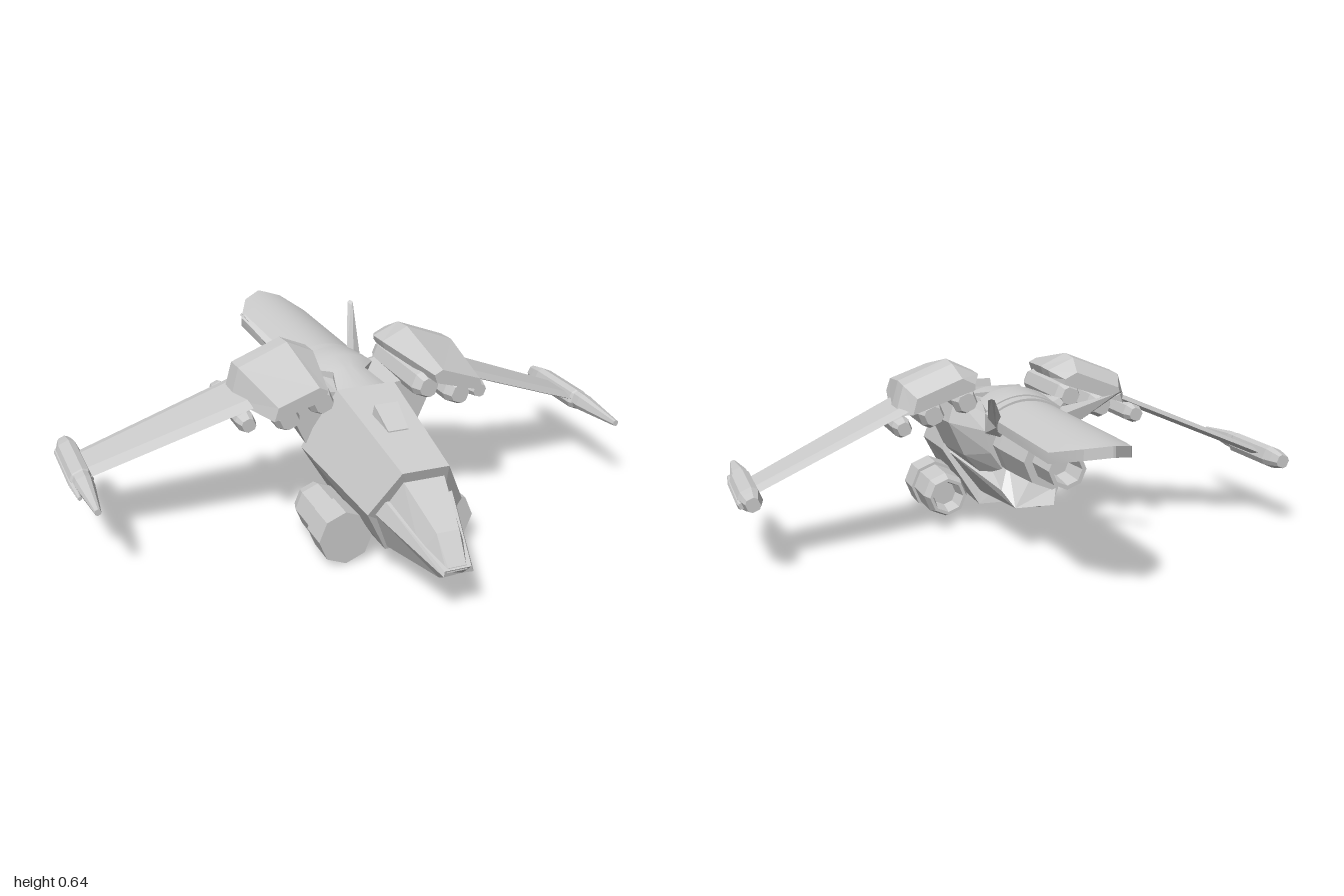
import * as THREE from 'three';
import { toCreasedNormals } from 'three/addons/utils/BufferGeometryUtils.js';

const flat = new THREE.MeshStandardMaterial({ color: 0xcccccc, flatShading: true });
const smooth = new THREE.MeshStandardMaterial({ color: 0xcccccc });

// Skin a list of rings; each ring runs counter-clockwise seen from the first end
function loft(rings) {
  const out = [];
  const tri = (...pts) => pts.forEach((p) => out.push(...p));
  const n = rings[0].length;
  for (let i = 0; i + 1 < rings.length; i++) {
    const F = rings[i], B = rings[i + 1];
    for (let j = 0; j < n; j++) {
      const k = (j + 1) % n;
      tri(F[j], B[j], F[k]);
      tri(F[k], B[j], B[k]);
    }
  }
  const last = rings[rings.length - 1];
  for (let j = 1; j + 1 < n; j++) {
    tri(rings[0][0], rings[0][j], rings[0][j + 1]);
    tri(last[0], last[j + 1], last[j]);
  }
  const geo = new THREE.BufferGeometry();
  geo.setAttribute('position', new THREE.Float32BufferAttribute(out, 3));
  geo.computeVertexNormals();
  return geo;
}

// Full ring from its +x half, listed bottom to top
const sym = (half) => [...half, ...half.map(([x, y, z]) => [-x, y, z]).reverse()];
const atZ = (z, pts) => pts.map(([x, y]) => [x, y, z]);

// Chamfered square bar along z; stations are [z, half width]
function bar(cx, cy, tilt, stations) {
  const c = Math.cos(tilt), s = Math.sin(tilt);
  const shape = [[0.55, -1], [1, -0.55], [1, 0.55], [0.55, 1], [-0.55, 1], [-1, 0.55], [-1, -0.55], [-0.55, -1]];
  return loft(stations.map(([z, r]) =>
    shape.map(([x, y]) => [cx + r * (x * c - y * s), cy + r * (x * s + y * c), z])));
}

// Eight-sided turned body along z; profile is [radius, z], rear to front
function turned(profile, x, y) {
  const geo = new THREE.LatheGeometry(profile.map(([r, z]) => new THREE.Vector2(r, z)), 8);
  return geo.rotateX(Math.PI / 2).translate(x, y, 0);
}

// Curved shell over the back; stations are [z, half width, crown height]
function shell(stations, bend, thick) {
  const n = 12;
  return loft(stations.map(([z, w, top]) => {
    const ring = [];
    for (let i = 0; i <= n; i++) {
      const x = w * (2 * i / n - 1);
      ring.push([x, top - bend * x * x - thick, z]);
    }
    for (let i = n; i >= 0; i--) {
      const x = w * (2 * i / n - 1);
      ring.push([x, top - bend * x * x, z]);
    }
    return ring;
  }));
}

// Mirror across x = 0, keeping faces outward
function mirrored(geo) {
  const g = geo.clone().scale(-1, 1, 1);
  const p = g.attributes.position;
  for (let i = 0; i < p.count; i += 3) {
    const b = [p.getX(i + 1), p.getY(i + 1), p.getZ(i + 1)];
    p.setXYZ(i + 1, p.getX(i + 2), p.getY(i + 2), p.getZ(i + 2));
    p.setXYZ(i + 2, ...b);
  }
  g.computeVertexNormals();
  return g;
}

export function createModel() {
  const model = new THREE.Group();
  const add = (name, geo, mat = flat) => {
    let g = geo.index ? geo.toNonIndexed() : geo;
    if (mat === flat) g.computeVertexNormals();
    else g = toCreasedNormals(g, 0.5);
    const mesh = new THREE.Mesh(g, mat);
    mesh.name = name;
    model.add(mesh);
    return g;
  };
  const pair = (name, geo) => {
    const g = add(name + 'Left', geo);
    add(name + 'Right', mirrored(g));
  };

  // Main hull with slanted ends
  add('hull', loft([
    sym([[0.09, 0.09, 0.59], [0.165, 0.24, 0.62], [0.08, 0.40, 0.69]]),
    sym([[0.09, 0.085, 0.10], [0.215, 0.29, 0.15], [0.105, 0.505, 0.21]]),
  ]));

  // Nose below the canopy sill
  add('nose', loft([
    sym([[0.04, 0.13, 0.88], [0.05, 0.16, 0.93], [0.045, 0.175, 0.925]]),
    sym([[0.085, 0.10, 0.59], [0.14, 0.24, 0.62], [0.115, 0.29, 0.645]]),
  ]));

  // Faceted canopy
  add('canopy', loft([
    sym([[0.035, 0.165, 0.92], [0.03, 0.18, 0.918]]),
    sym([[0.075, 0.19, 0.82], [0.038, 0.265, 0.85]]),
    sym([[0.12, 0.25, 0.63], [0.07, 0.365, 0.675]]),
  ]));

  // Dorsal air scoop
  add('scoop', loft([
    sym([[0.035, 0.43, 0.48], [0.035, 0.45, 0.48]]),
    sym([[0.048, 0.45, 0.37], [0.042, 0.505, 0.38]]),
  ]));

  // Shoulder body carrying the wings
  add('shoulderBody', loft([
    sym(atZ(0.17, [[0.09, 0.2], [0.2, 0.3], [0.255, 0.42], [0.23, 0.5], [0.09, 0.48]])),
    sym(atZ(-0.05, [[0.09, 0.2], [0.19, 0.31], [0.245, 0.43], [0.22, 0.52], [0.09, 0.49]])),
    sym(atZ(-0.14, [[0.07, 0.26], [0.12, 0.33], [0.14, 0.41], [0.12, 0.46], [0.07, 0.48]])),
  ]));

  // Belly fairing behind the hull
  add('bellyFairing', loft([
    sym([[0.08, 0.13, 0.12], [0.19, 0.28, 0.14], [0.1, 0.36, 0.14]]),
    sym([[0.07, 0.16, -0.26], [0.1, 0.21, -0.2], [0.06, 0.3, -0.15]]),
  ]));

  // Dorsal hump, collar and long tail plate
  add('dorsalHump', shell([[0.21, 0.1, 0.505], [0.06, 0.06, 0.52], [-0.02, 0.12, 0.54], [-0.14, 0.135, 0.53]], 2.7, 0.08), smooth);
  add('tailCollar', shell([[-0.14, 0.14, 0.525], [-0.19, 0.14, 0.525]], 2.7, 0.07), smooth);
  add('tailPlate', shell([[-0.15, 0.135, 0.517], [-0.76, 0.135, 0.517], [-0.89, 0.075, 0.517], [-0.94, 0.004, 0.517]], 2.7, 0.035), smooth);

  // Rear engine with hollow nozzle
  add('rearEngine', turned([
    [0, -0.47], [0.04, -0.47], [0.05, -0.57], [0.064, -0.57], [0.07, -0.43],
    [0.098, -0.43], [0.112, -0.2], [0.112, 0.1], [0, 0.1],
  ], 0, 0.36));

  // Lower engines beside the hull
  pair('lowerEngine', turned([
    [0, 0.25], [0.045, 0.25], [0.058, 0.185], [0.07, 0.185], [0.083, 0.23],
    [0.083, 0.375], [0.094, 0.375], [0.094, 0.487], [0, 0.487],
  ], 0.184, 0.097));

  // Shoulder pods above the wing roots
  pair('shoulderPod', loft([
    atZ(0.35, [[0.2, 0.535], [0.375, 0.485], [0.36, 0.53], [0.22, 0.58], [0.19, 0.565]]),
    atZ(0.05, [[0.14, 0.565], [0.43, 0.46], [0.4, 0.57], [0.225, 0.64], [0.13, 0.595]]),
    atZ(-0.03, [[0.14, 0.565], [0.43, 0.46], [0.4, 0.565], [0.225, 0.633], [0.13, 0.592]]),
    atZ(-0.11, [[0.165, 0.55], [0.385, 0.475], [0.37, 0.53], [0.21, 0.592], [0.165, 0.57]]),
  ]));

  // Launch tubes under the pods and wings
  const tilt = -0.4;
  for (const [name, x, y, r, front, back] of [
    ['innerTube', 0.19, 0.505, 0.042, 0.31, -0.1],
    ['middleTube', 0.31, 0.465, 0.042, 0.31, -0.1],
    ['outerTube', 0.425, 0.435, 0.031, 0.235, -0.145],
  ]) {
    pair(name, bar(x, y, tilt, [[front, r * 0.7], [front - 0.04, r], [back + 0.04, r], [back, r * 0.7]]));
  }

  // Drooping swept wings
  pair('wing', loft([0.95, 0.22].map((x) => {
    const y = 0.25 + (0.95 - x) * 0.42;
    const lead = 0.06 + (0.93 - x) * 0.275, trail = -0.168 + (0.93 - x) * 0.15;
    const t = 0.014;
    return [[x, y, lead], [x, y - t, lead - 0.05], [x, y - t, trail + 0.05],
      [x, y, trail], [x, y + t, trail + 0.05], [x, y + t, lead - 0.05]];
  })));

  // Wing tip pods with forward spike and outer rail
  pair('tipPod', bar(0.952, 0.252, tilt, [[0.1, 0.02], [0.05, 0.036], [-0.2, 0.036], [-0.24, 0.03], [-0.28, 0.022]]));
  pair('tipSpike', bar(0.952, 0.256, tilt, [[0.315, 0.01], [0.1, 0.03], [0.02, 0.03]]));
  pair('tipRail', bar(0.982, 0.242, tilt, [[0.17, 0.006], [0.05, 0.015], [-0.22, 0.015], [-0.24, 0.01]]));

  // Splayed tail fins
  pair('tailFin', loft([
    [[0.23, 0.58, -0.465], [0.222, 0.585, -0.475], [0.21, 0.58, -0.47], [0.22, 0.57, -0.455]],
    [[0.152, 0.47, -0.21], [0.145, 0.45, -0.28], [0.11, 0.47, -0.23], [0.12, 0.49, -0.19]],
    [[0.15, 0.41, -0.17], [0.12, 0.41, -0.25], [0.08, 0.42, -0.18], [0.11, 0.42, -0.11]],
  ]));

  return model;
}
